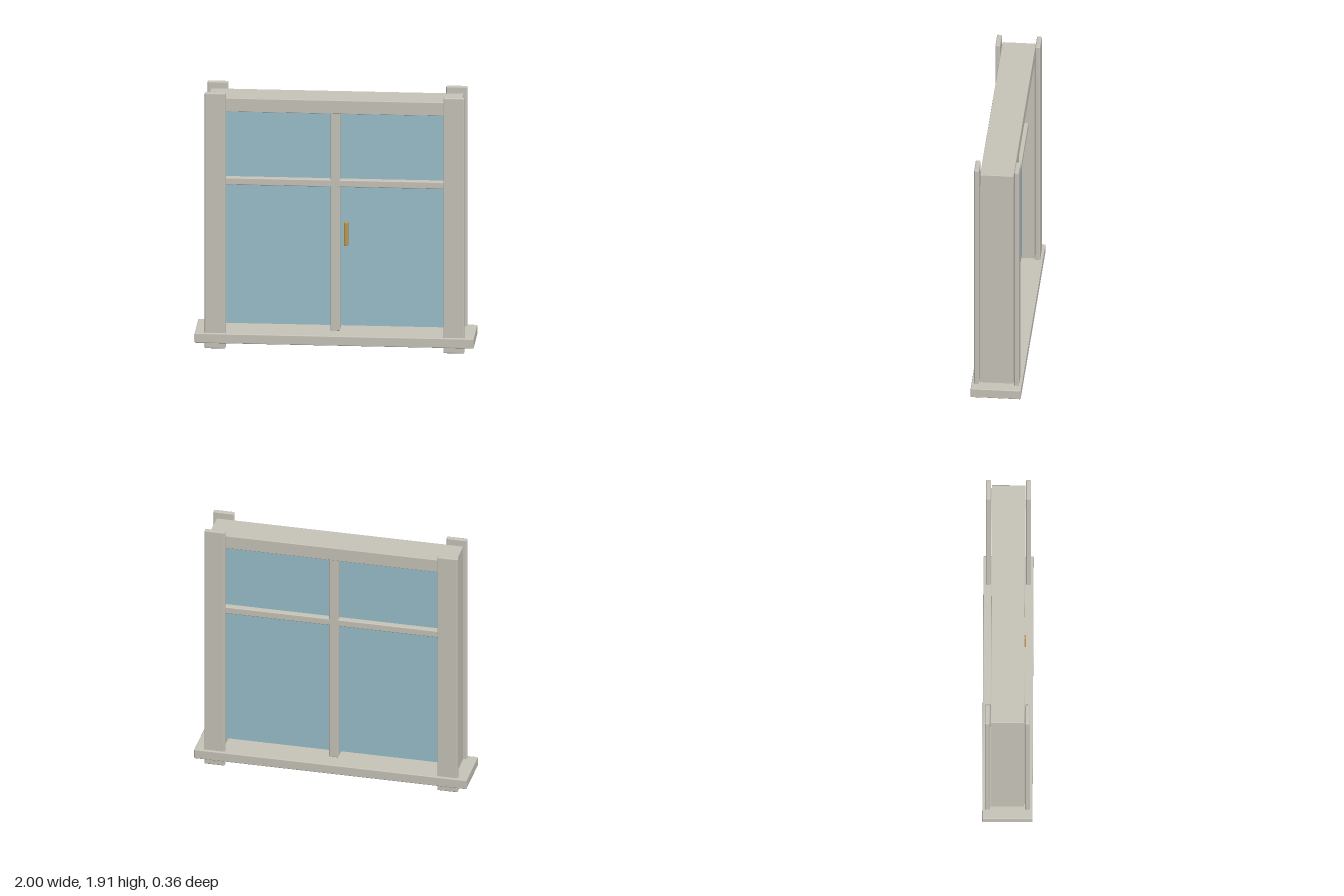
import * as THREE from 'three';
import { RoundedBoxGeometry } from 'three/addons/geometries/RoundedBoxGeometry.js';

export function createModel() {
  const model = new THREE.Group();
  model.name = 'window';

  const paint = new THREE.MeshStandardMaterial({ color: 0xc9c5bb });
  paint.name = 'warm grey paint';
  const glass = new THREE.MeshStandardMaterial({ color: 0x9bc1cc });
  glass.name = 'blue glass';
  const brass = new THREE.MeshStandardMaterial({ color: 0xc29a52 });
  brass.name = 'brass';

  // Box between two corners, with softened edges when a bevel is given
  function block(name, material, [x0, y0, z0], [x1, y1, z1], bevel = 0) {
    const size = [x1 - x0, y1 - y0, z1 - z0];
    const geometry = bevel
      ? new RoundedBoxGeometry(...size, 2, bevel)
      : new THREE.BoxGeometry(...size);
    const mesh = new THREE.Mesh(geometry, material);
    mesh.name = name;
    mesh.position.set((x0 + x1) / 2, (y0 + y1) / 2, (z0 + z1) / 2);
    model.add(mesh);
    return mesh;
  }

  // Sill and box frame
  block('sill', paint, [-1, 0.05, -0.18], [1, 0.122, 0.18], 0.006);
  block('header', paint, [-0.905, 1.765, -0.12], [0.905, 1.865, 0.12], 0.004);
  for (const side of [-1, 1]) {
    const x = side * 0.8525;
    block(side > 0 ? 'leftJamb' : 'rightJamb', paint,
      [x - 0.0525, 0.115, -0.12], [x + 0.0525, 1.77, 0.12]);

    // Upright casing boards on both faces, running past the sill
    for (const face of [-1, 1]) {
      const cx = side * 0.855, cz = face * 0.1435;
      block((face > 0 ? 'front' : 'back') + (side > 0 ? 'Left' : 'Right') + 'Casing', paint,
        [cx - 0.075, 0.005, cz - 0.0175], [cx + 0.075, 1.912, cz + 0.0175], 0.008);
    }
  }

  // Glass stops short of the sill
  block('glassPane', glass, [-0.805, 0.16, -0.03], [0.805, 1.77, 0.03]);

  // Crossing glazing bars
  block('mullion', paint, [-0.034, 0.13, -0.075], [0.034, 1.77, 0.075], 0.006);
  block('crossBar', paint, [-0.805, 1.205, -0.075], [0.805, 1.257, 0.075], 0.006);

  // Pull handle on the front
  block('handle', brass, [0.067, 0.78, 0.09], [0.096, 0.957, 0.13], 0.006);

  model.position.y = -0.005;
  const root = new THREE.Group();
  root.name = 'windowRoot';
  root.add(model);
  return root;
}
